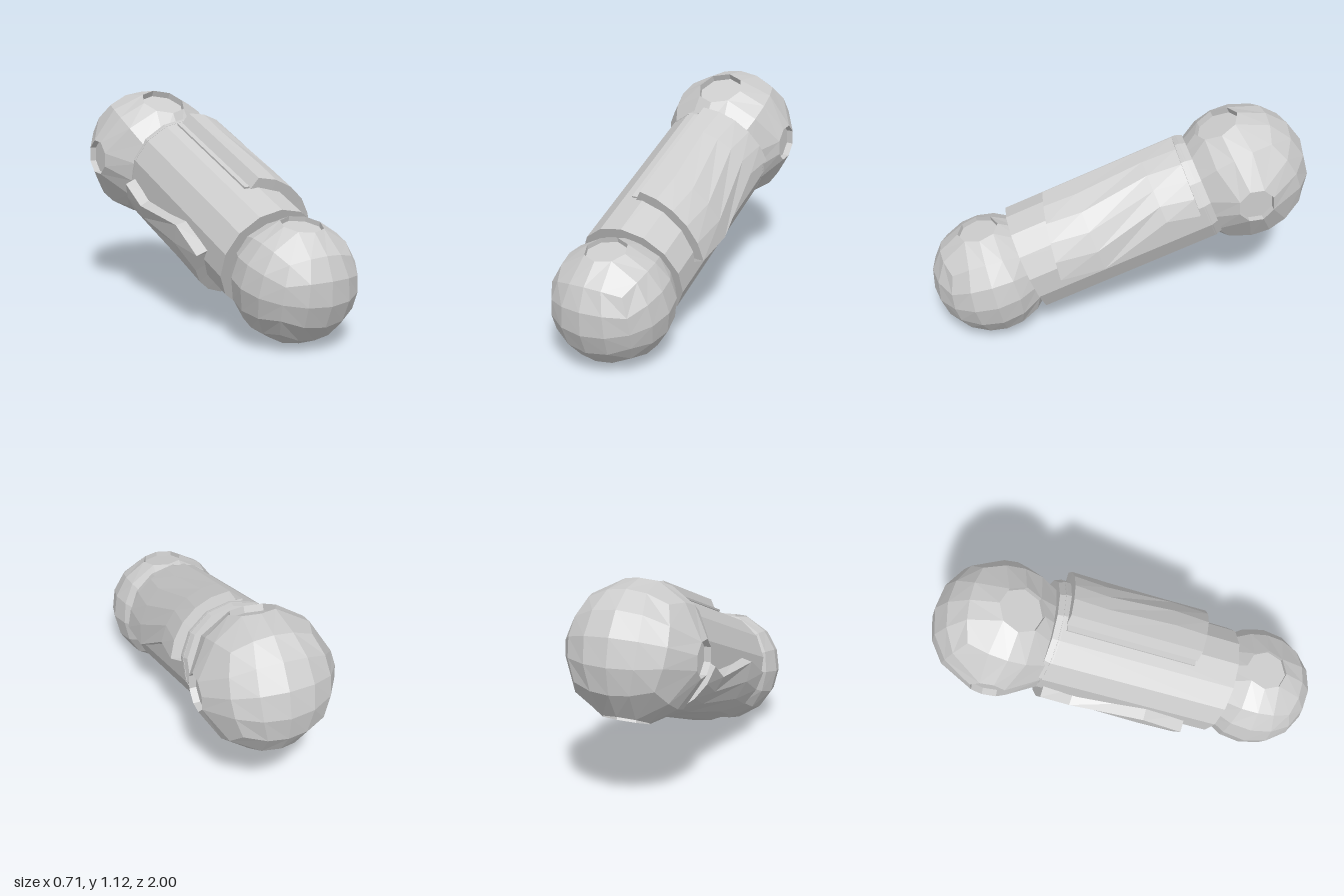
import * as THREE from 'three';

const grey = new THREE.MeshStandardMaterial({ color: 0xcccccc });
grey.name = 'grey';
grey.flatShading = true;

function meshFrom(triangles, name) {
  const geometry = new THREE.BufferGeometry().setFromPoints(triangles);
  geometry.computeVertexNormals();
  const mesh = new THREE.Mesh(geometry, grey);
  mesh.name = name;
  return mesh;
}

// Pushes a four-cornered face, corners counter-clockwise from outside
const quad = (out, a, b, c, d) => out.push(a, b, c, a, c, d);

// Joint ball from six 4 x 4 patches; sockets maps a patch to its
// octagonal recess: [half angle, depth]
function ball(name, r, sockets) {
  const out = [];
  for (const key of ['+x', '-x', '+y', '-y', '+z', '-z']) {
    const n = new THREE.Vector3();
    n[key[1]] = key[0] === '+' ? 1 : -1;
    const a = new THREE.Vector3(n.y, n.z, n.x);
    const b = n.clone().cross(a);
    const socket = sockets[key];
    const blend = (cn, ca, cb) =>
      n.clone().multiplyScalar(cn).addScaledVector(a, ca).addScaledVector(b, cb).setLength(r);
    const ring = (t) => {
      const s = Math.tan(socket[0]);
      return blend(1, Math.cos(t) * s, Math.sin(t) * s);
    };
    const point = (i, j) => {
      const p = i - 2, q = j - 2;
      if (socket && Math.max(Math.abs(p), Math.abs(q)) === 1) return ring(Math.atan2(q, p));
      return blend(1, Math.tan(p * Math.PI / 8), Math.tan(q * Math.PI / 8));
    };
    for (let i = 0; i < 4; i++) {
      for (let j = 0; j < 4; j++) {
        const middle = (i === 1 || i === 2) && (j === 1 || j === 2);
        if (socket && middle) continue;
        quad(out, point(i, j), point(i + 1, j), point(i + 1, j + 1), point(i, j + 1));
      }
    }
    if (!socket) continue;
    // Recess wall and floor
    const [angle, depth] = socket;
    const floorCentre = n.clone().multiplyScalar(r * Math.cos(angle) - depth);
    for (let k = 0; k < 8; k++) {
      const t0 = ring(k * Math.PI / 4), t1 = ring((k + 1) * Math.PI / 4);
      const f0 = t0.clone().addScaledVector(n, -depth);
      const f1 = t1.clone().addScaledVector(n, -depth);
      quad(out, t0, t1, f1, f0);
      out.push(floorCentre, f0, f1);
    }
  }
  return meshFrom(out, name);
}

// Curved armour plate with a stepped lower edge, wrapping a quarter of the limb
function armourPlate(name) {
  const deg = Math.PI / 180, outer = 0.337, inner = 0.25, steps = 5;
  // lower z, upper z, lower edge angle; from front to back
  const rows = [
    [0.34, 0.262, 5], [0.11, 0.1, -2], [-0.27, -0.27, 17], [-0.44, -0.456, 10],
  ];
  const sections = rows.map(([zLow, zHigh, low]) => {
    const at = (radius, angle, t) => new THREE.Vector3(
      radius * Math.cos(angle * deg),
      radius * Math.sin(angle * deg),
      THREE.MathUtils.lerp(zLow, zHigh, t)
    );
    const loop = [at(inner, low - 6, 0)];
    for (let i = 0; i <= steps; i++) {
      const t = i / steps;
      loop.push(at(outer, THREE.MathUtils.lerp(low, 91, t), t));
    }
    loop.push(at(inner, 104, 1));
    return loop;
  });
  const out = [];
  for (let s = 0; s < sections.length - 1; s++) {
    const f = sections[s], k = sections[s + 1];
    for (let i = 0; i < f.length - 1; i++) quad(out, f[i], k[i], k[i + 1], f[i + 1]);
  }
  // End walls close towards the limb axis, inside the body
  const front = sections[0], back = sections[sections.length - 1];
  const frontCentre = new THREE.Vector3(0, 0, 0.3);
  const backCentre = new THREE.Vector3(0, 0, -0.45);
  for (let i = 0; i < front.length - 1; i++) {
    out.push(frontCentre, front[i], front[i + 1]);
    out.push(backCentre, back[i + 1], back[i]);
  }
  return meshFrom(out, name);
}

// Drum along z between two stations
function drum(name, rFront, rBack, zFront, zBack, sides) {
  const geometry = new THREE.CylinderGeometry(rFront, rBack, zFront - zBack, sides);
  geometry.rotateX(Math.PI / 2);
  geometry.translate(0, 0, (zFront + zBack) / 2);
  const mesh = new THREE.Mesh(geometry, grey);
  mesh.name = name;
  return mesh;
}

export function createModel() {
  const model = new THREE.Group();
  model.name = 'limbSegment';

  // Limb built along z, then tilted so the front end dips
  const limb = new THREE.Group();
  limb.name = 'limb';
  limb.rotation.x = 20.7 * Math.PI / 180;
  limb.position.set(0.01, 0.55, 0.04);
  model.add(limb);

  limb.add(drum('body', 0.285, 0.287, 0.49, -0.48, 14));
  limb.add(drum('rearCollar', 0.288, 0.275, -0.47, -0.51, 14));

  // Two matching plates, half a turn apart
  const upper = armourPlate('upperPlate');
  const lower = armourPlate('lowerPlate');
  lower.rotation.z = Math.PI;
  limb.add(upper, lower);

  // Thin seam strip beside each plate's straight edge
  for (const plate of [upper, lower]) {
    const seam = new THREE.Mesh(new THREE.BoxGeometry(0.03, 0.01, 0.7), grey);
    seam.name = 'seamStrip';
    seam.position.set(-0.055, 0.279, -0.1);
    plate.add(seam);
  }

  const frontSocket = [0.35, 0.025];
  const frontBall = ball('frontBall', 0.313, { '+y': frontSocket, '-y': frontSocket });
  frontBall.position.set(0.01, 0.005, 0.695);
  frontBall.rotation.x = -0.16;

  const sideSocket = [0.275, 0.035], topSocket = [0.35, 0.035];
  const rearBall = ball('rearBall', 0.354, {
    '+x': sideSocket, '-x': sideSocket, '+y': topSocket, '-y': topSocket,
  });
  rearBall.position.set(-0.03, -0.04, -0.72);
  rearBall.rotation.x = 0.08;
  limb.add(frontBall, rearBall);

  return model;
}
